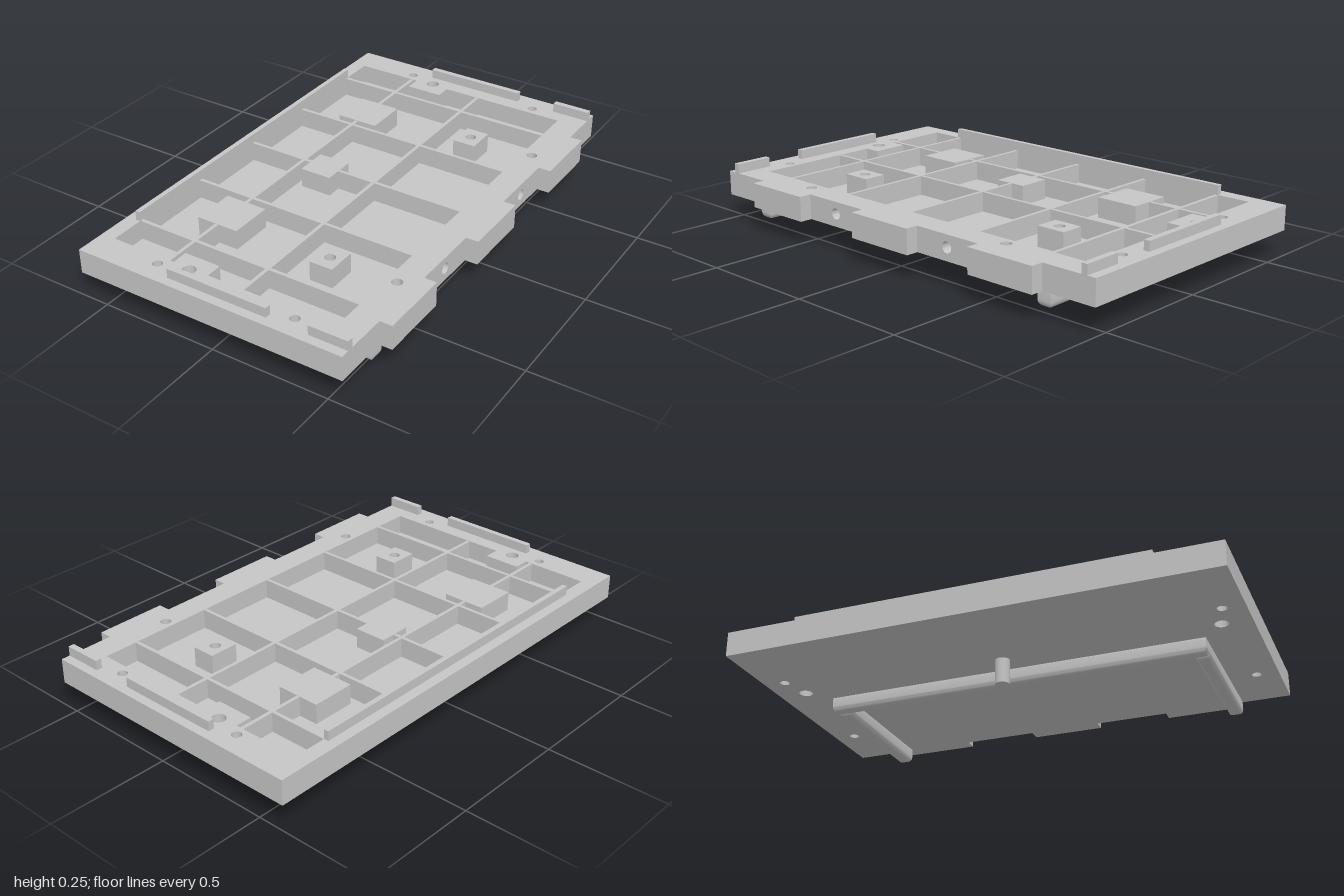
import * as THREE from 'three';
import { toCreasedNormals } from 'three/addons/utils/BufferGeometryUtils.js';

const BOTTOM = 0.105, FLOOR = 0.125, TOP = 0.208, LIP = 0.248;

export function createModel() {
  const group = new THREE.Group();
  const grey = new THREE.MeshStandardMaterial({ color: 0xc6c6c6 });
  grey.name = 'grey';

  const add = (name, geometry) => {
    const mesh = new THREE.Mesh(geometry, grey);
    mesh.name = name;
    group.add(mesh);
    return mesh;
  };
  const box = (name, x0, x1, y0, y1, z0, z1) =>
    add(name, new THREE.BoxGeometry(x1 - x0, y1 - y0, z1 - z0))
      .position.set((x0 + x1) / 2, (y0 + y1) / 2, (z0 + z1) / 2);

  // Plan outlines are [x, z] pairs, reversed so the shape runs anticlockwise
  const plan = (points) => new THREE.Shape(points.map(([x, z]) => new THREE.Vector2(x, -z)).reverse());
  const rect = (x0, x1, z0, z1) => [[x0, z0], [x1, z0], [x1, z1], [x0, z1]];
  const circle = (x, y, r) => new THREE.Path().absarc(x, y, r, 0, Math.PI * 2, true);
  const slab = (name, outline, holes, y0, y1) => {
    const shape = plan(outline);
    shape.holes.push(...holes);
    const g = new THREE.ExtrudeGeometry(shape, { depth: y1 - y0, bevelEnabled: false, curveSegments: 16 });
    g.rotateX(-Math.PI / 2).translate(0, y0, 0);
    add(name, toCreasedNormals(g, 0.6));
  };

  // Outer outline with three edge tabs, optionally notched for the side hole inserts
  const sideHoles = [-0.308, 0.308];
  const outline = (notched) => {
    const pts = [[-0.6125, 1], [-0.6125, -1], [0.56, -1]];
    [[-0.767, -0.463], [-0.153, 0.153], [0.463, 0.767]].forEach(([a, b], i) => {
      pts.push([0.56, a], [0.6125, a], [0.6125, b], [0.56, b]);
      if (notched && i < 2) {
        const z = sideHoles[i];
        pts.push([0.56, z - 0.07], [0.48, z - 0.07], [0.48, z + 0.07], [0.56, z + 0.07]);
      }
    });
    pts.push([0.56, 1]);
    return pts;
  };

  const throughHoles = () => [-1, 1].flatMap((s) => [
    circle(-0.307, s * 0.912, 0.02), circle(0.307, s * 0.912, 0.02), circle(-0.185, s * 0.882, 0.028),
  ]);
  const pocket = plan([
    [-0.55, -0.872], [-0.265, -0.872], [-0.265, -0.803], [-0.105, -0.803], [-0.105, -0.872],
    [0.45, -0.872], [0.45, 0.872], [-0.105, 0.872], [-0.105, 0.803], [-0.265, 0.803],
    [-0.265, 0.872], [-0.55, 0.872],
  ]);
  const bossZ = [-0.538, 0.538];

  // Base floor and raised frame around the pocket
  slab('basePlate', outline(false), throughHoles(), BOTTOM, FLOOR);
  slab('frame', outline(true),
    [pocket, ...throughHoles(), ...bossZ.map((z) => circle(0.491, -z, 0.022))], FLOOR, TOP);

  // Edge inserts with blind side holes
  for (const z of sideHoles) {
    const face = new THREE.Shape([[-0.07, FLOOR], [0.07, FLOOR], [0.07, TOP], [-0.07, TOP]]
      .map(([a, y]) => new THREE.Vector2(a, y)));
    face.holes.push(circle(0, 0.158, 0.023));
    const g = new THREE.ExtrudeGeometry(face, { depth: 0.08, bevelEnabled: false, curveSegments: 16 });
    g.rotateY(Math.PI / 2).translate(0.48, 0, z);
    add('sideHoleInsert', toCreasedNormals(g, 0.6));
  }

  // Ribs across the pocket
  const ribTop = TOP - 0.001, half = 0.0075;
  for (const z of [-0.721, -0.362, -0.003, 0.357, 0.717])
    box('crossRib', -0.55, 0.45, FLOOR, ribTop, z - half, z + half);
  for (const x of [-0.29, 0.05])
    box('longRib', x - half, x + half, FLOOR, ribTop - 0.0005, -0.872, 0.872);

  // Solid pads and drilled bosses
  box('padBack', -0.38, -0.196, FLOOR, TOP, -0.587, -0.401);
  box('padFront', -0.38, -0.196, FLOOR, TOP, 0.399, 0.585);
  box('padCentre', -0.255, -0.117, FLOOR, TOP, -0.071, 0.069);
  for (const z of bossZ)
    slab('drilledBoss', rect(0.152, 0.252, z - 0.0625, z + 0.0625), [circle(0.202, -z, 0.022)], FLOOR, TOP);

  // Raised lips on the top edges
  box('longLip', -0.57, -0.549, TOP, LIP, -0.728, 0.728);
  for (const z of [-0.95, 0.95]) {
    box('endLip', -0.22, 0.22, TOP, LIP, z - 0.0125, z + 0.0125);
    box('cornerLip', 0.396, 0.56, TOP, LIP, z - 0.0125, z + 0.0125);
  }

  // Rounded U-shaped rail underneath
  const rail = (name, x0, x1, z0, z1) => {
    const g = new THREE.ExtrudeGeometry(plan(rect(x0, x1, z0, z1)), {
      depth: 0.032, bevelThickness: 0.024, bevelSize: 0.018, bevelOffset: -0.018, bevelSegments: 5,
    });
    g.rotateX(-Math.PI / 2).translate(0, 0.067, 0);
    add(name, toCreasedNormals(g, 0.6));
  };
  rail('underRailLong', -0.1, -0.045, -0.8, 0.8);
  rail('underRailBack', -0.045, 0.552, -0.8, -0.74);
  rail('underRailFront', -0.045, 0.552, 0.74, 0.8);

  // Locating pin
  add('locatingPin', new THREE.CylinderGeometry(0.03, 0.03, 0.11, 32)).position.set(-0.185, 0.055, 0);

  return group;
}
